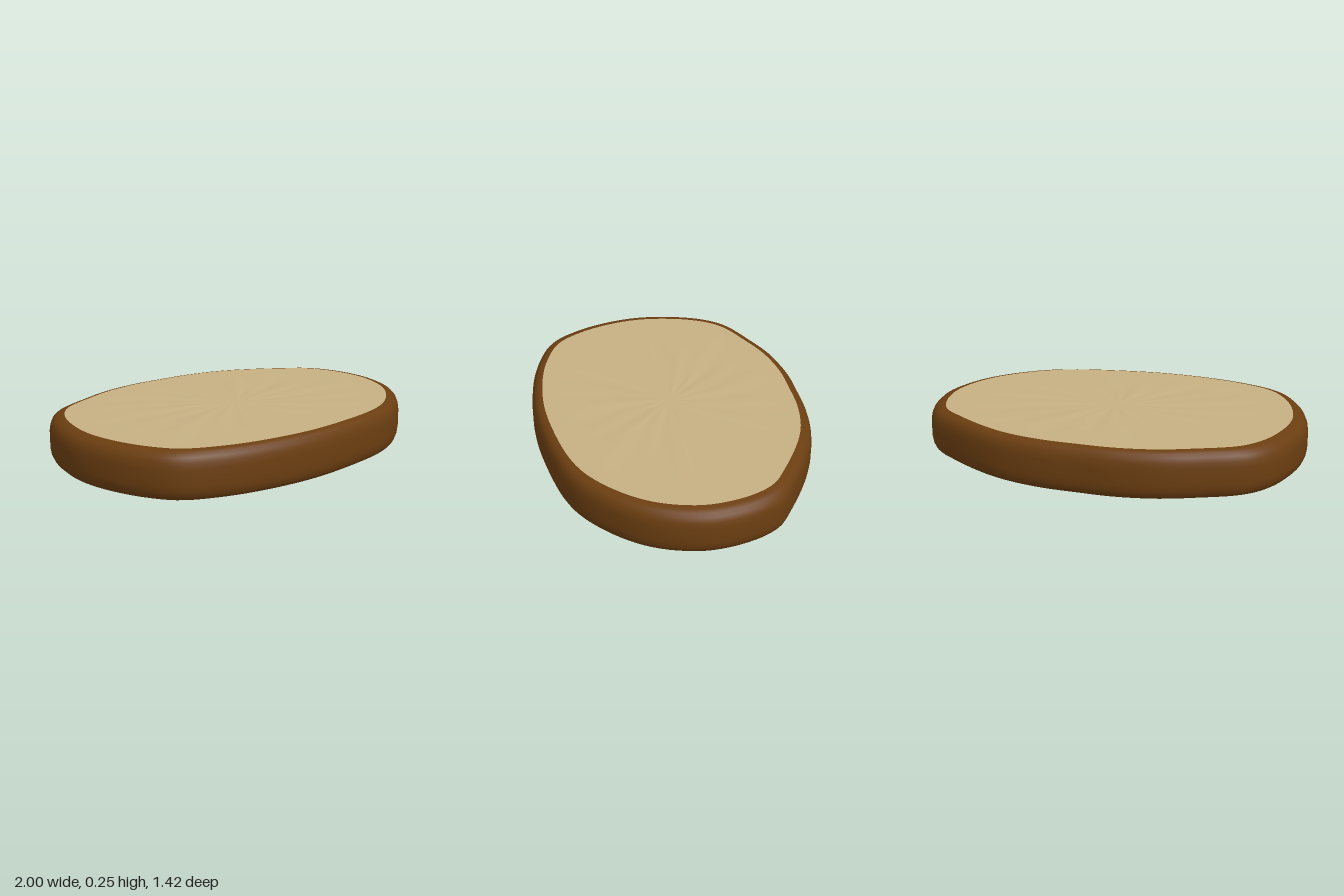
import * as THREE from 'three';
import { mergeVertices } from 'three/addons/utils/BufferGeometryUtils.js';

const SEGMENTS = 128;
const TOP = 0.247, BOTTOM = 0.003;

// Irregular outline of the slab, counterclockwise seen from above (x, z)
const OUTLINE = [
  [1, 0], [0.97, -0.21], [0.9, -0.35], [0.79, -0.44], [0.59, -0.57], [0.43, -0.645],
  [0.22, -0.695], [0, -0.71], [-0.18, -0.713], [-0.4, -0.68], [-0.58, -0.615],
  [-0.8, -0.51], [-0.9, -0.39], [-0.97, -0.21], [-1, 0], [-0.97, 0.21], [-0.9, 0.39],
  [-0.8, 0.525], [-0.61, 0.62], [-0.4, 0.675], [-0.1, 0.705], [0.19, 0.685],
  [0.46, 0.635], [0.62, 0.57], [0.78, 0.45], [0.9, 0.31], [0.97, 0.16],
];

// Joins scaled copies of the outline; each row is [scale, height]
function loft(outline, rows, ripple = () => 0) {
  const positions = [], index = [];
  rows.forEach(([scale, y]) => outline.forEach((p, i) => {
    positions.push(p.x * scale, y + ripple(scale, i / SEGMENTS * Math.PI * 2), p.z * scale);
  }));
  for (let r = 0; r < rows.length - 1; r++) {
    for (let i = 0; i < SEGMENTS; i++) {
      const j = (i + 1) % SEGMENTS;
      const a = r * SEGMENTS + i, b = a + SEGMENTS;
      const c = (r + 1) * SEGMENTS + j, d = r * SEGMENTS + j;
      index.push(a, b, c);
      if (rows[r][0] > 0 || r > 0) index.push(a, c, d);
    }
  }
  let geometry = new THREE.BufferGeometry();
  geometry.setAttribute('position', new THREE.Float32BufferAttribute(positions, 3));
  geometry.setIndex(index);
  geometry = mergeVertices(geometry, 1e-5);
  geometry.computeVertexNormals();
  return geometry;
}

// Faint radial grain that fades out at the centre and at the bark
function grain(scale, angle) {
  const fade = Math.sin(Math.PI * Math.min(1, scale / 0.92));
  return 0.0012 * fade * (Math.sin(7 * angle + 3 * scale) + Math.sin(17 * angle - 5 * scale)
    + 0.5 * Math.sin(29 * angle + 9 * scale));
}

export function createModel() {
  const group = new THREE.Group();
  group.name = 'woodSlice';

  const bark = new THREE.MeshStandardMaterial({ color: 0x6b3e11 });
  bark.name = 'barkBrown';
  const wood = new THREE.MeshStandardMaterial({ color: 0xc6b083 });
  wood.name = 'paleWood';

  const curve = new THREE.CatmullRomCurve3(
    OUTLINE.map(([x, z]) => new THREE.Vector3(x, 0, z)), true);
  const outline = curve.getSpacedPoints(SEGMENTS).slice(0, SEGMENTS);

  const add = (name, geometry, material) => {
    const mesh = new THREE.Mesh(geometry, material);
    mesh.name = name;
    group.add(mesh);
  };

  // Bark rim with rounded upper and lower edges
  const upper = [[0.92, TOP], [0.945, 0.244], [0.967, 0.235], [0.984, 0.219],
    [0.995, 0.195], [1, 0.165], [1, 0.125]];
  const lower = upper.slice(0, -1).reverse().map(([s, y]) => [s, TOP + BOTTOM - y]);
  add('barkRim', loft(outline, [...upper, ...lower]), bark);

  // Cut faces, from the centre outwards on top and inwards underneath
  const scales = [0, 0.1, 0.25, 0.4, 0.55, 0.7, 0.82, 0.92];
  add('topCutFace', loft(outline, scales.map((s) => [s, TOP]), grain), wood);
  add('bottomCutFace', loft(outline, scales.map((s) => [s, BOTTOM]).reverse(), grain), wood);

  return group;
}
